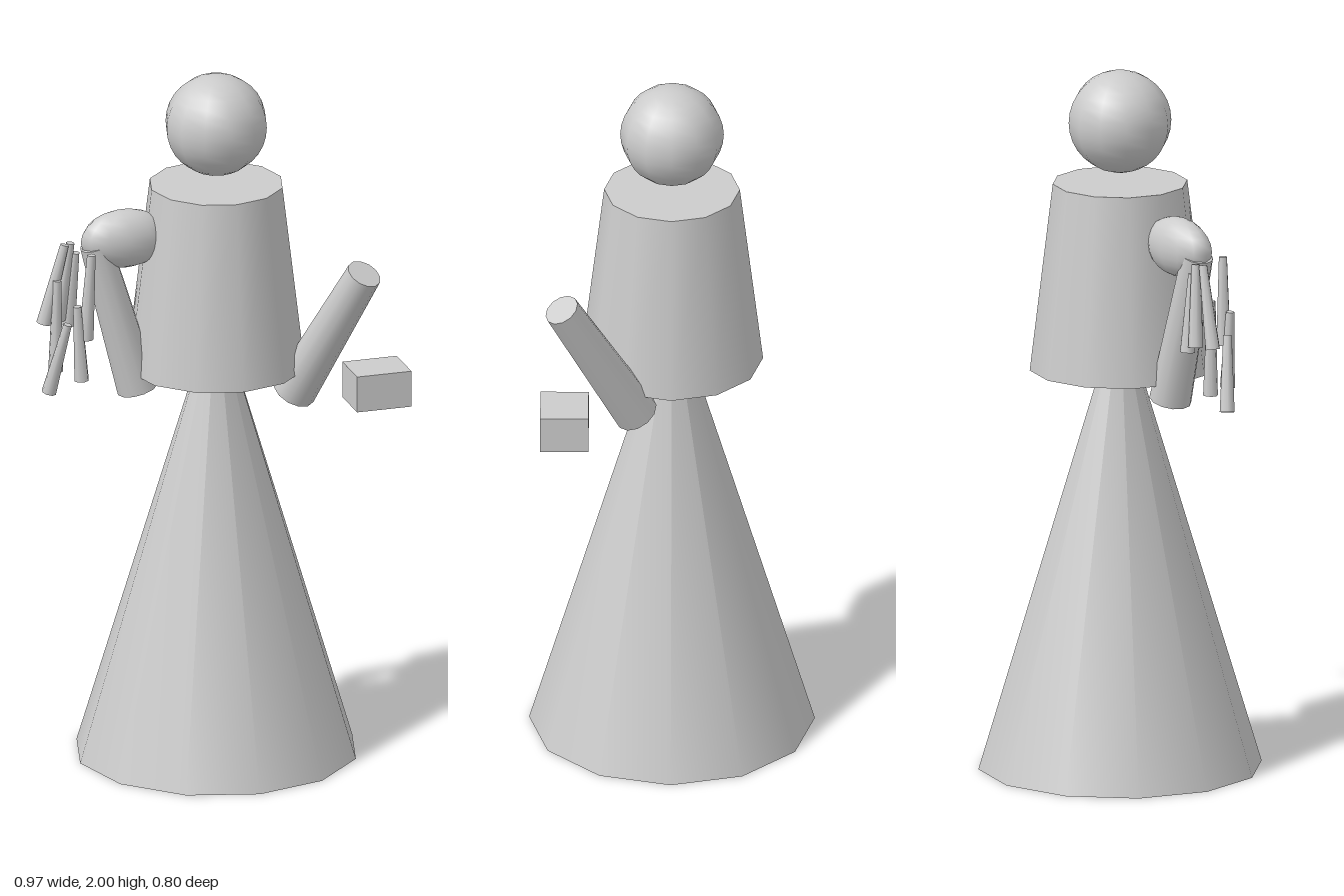
import * as THREE from 'three';

export function createModel() {
  const model = new THREE.Group();
  const material = new THREE.MeshStandardMaterial({ color: 0xcccccc });
  const axisX = 0.028; // body axis

  const add = (name, geometry, x, y, z) => {
    const mesh = new THREE.Mesh(geometry, material);
    mesh.name = name;
    mesh.position.set(x, y, z);
    model.add(mesh);
    return mesh;
  };

  // Tapered cylinder running from one point to another
  const limb = (name, from, to, rFrom, rTo, sides) => {
    const a = new THREE.Vector3(...from);
    const b = new THREE.Vector3(...to);
    const dir = b.clone().sub(a);
    const geometry = new THREE.CylinderGeometry(rTo, rFrom, dir.length(), sides);
    const mid = a.add(b).multiplyScalar(0.5);
    const mesh = add(name, geometry, mid.x, mid.y, mid.z);
    mesh.quaternion.setFromUnitVectors(new THREE.Vector3(0, 1, 0), dir.normalize());
  };

  // Body
  add('skirt', new THREE.ConeGeometry(0.4, 1.33, 12), axisX, 0.665, 0);
  add('torso', new THREE.CylinderGeometry(0.19, 0.255, 0.535, 12), axisX, 1.4125, 0);
  add('head', new THREE.SphereGeometry(0.145, 12, 16), axisX, 1.855, 0);

  // Left arm with a block in front of it
  limb('leftForearm', [0.225, 1.075, 0.098], [0.365, 1.477, 0.306], 0.063, 0.05, 12);
  add('heldBlock', new THREE.BoxGeometry(0.16, 0.105, 0.135), 0.405, 1.1425, 0.2975);

  // Right shoulder and arm
  const shoulder = add('rightShoulder', new THREE.SphereGeometry(1, 12, 12), -0.242, 1.546, 0);
  shoulder.scale.set(0.128, 0.084, 0.064);
  limb('rightForearm', [-0.203, 1.098, 0], [-0.327, 1.535, 0], 0.06, 0.045, 12);

  // Right hand: loose finger segments, each narrow at the top
  const fingers = [
    [[-0.405, 1.53, -0.04], [-0.463, 1.3, -0.05]],
    [[-0.385, 1.53, -0.05], [-0.413, 1.3, -0.072]],
    [[-0.36, 1.53, 0.065], [-0.373, 1.28, 0.057]],
    [[-0.37, 1.5, -0.05], [-0.382, 1.28, -0.077]],
    [[-0.43, 1.43, -0.03], [-0.433, 1.16, -0.035]],
    [[-0.4, 1.38, 0.06], [-0.387, 1.16, 0.06]],
    [[-0.42, 1.32, 0.035], [-0.464, 1.112, 0]],
  ];
  for (const [top, bottom] of fingers) limb('finger', top, bottom, 0.012, 0.021, 8);

  return model;
}
